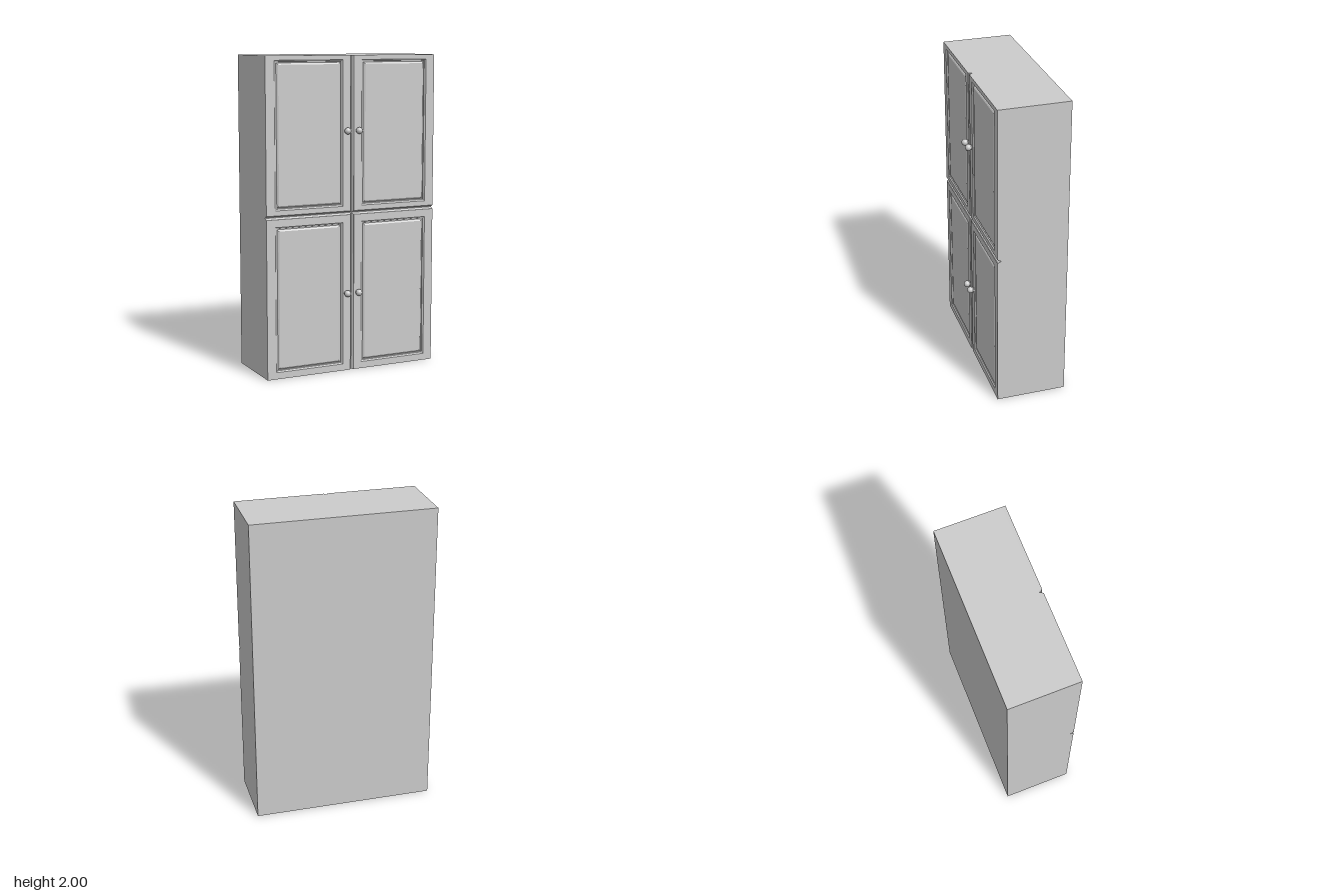
import * as THREE from 'three';

const W = 0.583, BACK = -0.245, SEAT = 0.182, FRONT = 0.203, SPLIT = 1.017;

// Skin of nested rectangles [x0, x1, y0, y1, z], closed by the last one
function nestedRects(loops) {
  const pos = [];
  const corners = ([x0, x1, y0, y1, z]) => [[x0, y0, z], [x1, y0, z], [x1, y1, z], [x0, y1, z]];
  const quad = (a, b, c, d) => pos.push(...a, ...b, ...c, ...a, ...c, ...d);
  for (let i = 0; i + 1 < loops.length; i++) {
    const a = corners(loops[i]), b = corners(loops[i + 1]);
    for (let k = 0; k < 4; k++) {
      const n = (k + 1) % 4;
      quad(a[k], a[n], b[n], b[k]);
    }
  }
  quad(...corners(loops[loops.length - 1]));
  const geo = new THREE.BufferGeometry();
  geo.setAttribute('position', new THREE.Float32BufferAttribute(pos, 3));
  geo.computeVertexNormals();
  return geo;
}

// Door: bevelled only on the edges that meet another door
function doorGeometry(side, upper) {
  const bevel = [[0.002, SEAT], [0.004, 0.188], [0.008, 0.196], [0.012, 0.2], [0.012, FRONT]];
  const loops = bevel.map(([gap, z]) => {
    const xs = side > 0 ? [gap, W] : [-W, -gap];
    const ys = upper ? [SPLIT + gap, 2] : [0, SPLIT - gap];
    return [...xs, ...ys, z];
  });
  // Moulded groove around the centre panel
  const moulding = [[0, FRONT], [0.004, 0.198], [0.009, 0.196], [0.011, 0.189],
    [0.016, 0.189], [0.021, 0.195], [0.027, 0.199]];
  const [x0, x1] = side > 0 ? [0.065, 0.524] : [-0.524, -0.065];
  const [y0, y1] = upper ? [1.06, 1.972] : [0.043, 0.957];
  for (const [d, z] of moulding) loops.push([x0 + d, x1 - d, y0 + d, y1 - d, z]);
  return nestedRects(loops);
}

// Round knob on a short neck
function knobGeometry() {
  const pts = [new THREE.Vector2(0.017, -0.025), new THREE.Vector2(0.015, -0.015)];
  for (let i = 0; i <= 12; i++) {
    const a = -0.75 + (i / 12) * (Math.PI / 2 + 0.75);
    pts.push(new THREE.Vector2(Math.max(0, 0.021 * Math.cos(a)), 0.021 * Math.sin(a)));
  }
  return new THREE.LatheGeometry(pts, 24).rotateX(Math.PI / 2);
}

export function createModel() {
  const group = new THREE.Group();
  const material = new THREE.MeshStandardMaterial({ color: 0xcccccc });
  const add = (name, geo, x = 0, y = 0, z = 0) => {
    const mesh = new THREE.Mesh(geo, material);
    mesh.name = name;
    mesh.position.set(x, y, z);
    group.add(mesh);
  };

  // Carcass behind the doors
  add('carcass', new THREE.BoxGeometry(2 * W, 2, SEAT - BACK), 0, 1, (SEAT + BACK) / 2);

  // Four doors with their knobs
  const knob = knobGeometry();
  for (const upper of [false, true]) {
    for (const side of [-1, 1]) {
      const label = (upper ? 'upper' : 'lower') + (side > 0 ? 'Left' : 'Right');
      add(label + 'Door', doorGeometry(side, upper));
      add(label + 'Knob', knob, side * 0.04, upper ? 1.533 : 0.503, 0.222);
    }
  }
  return group;
}
